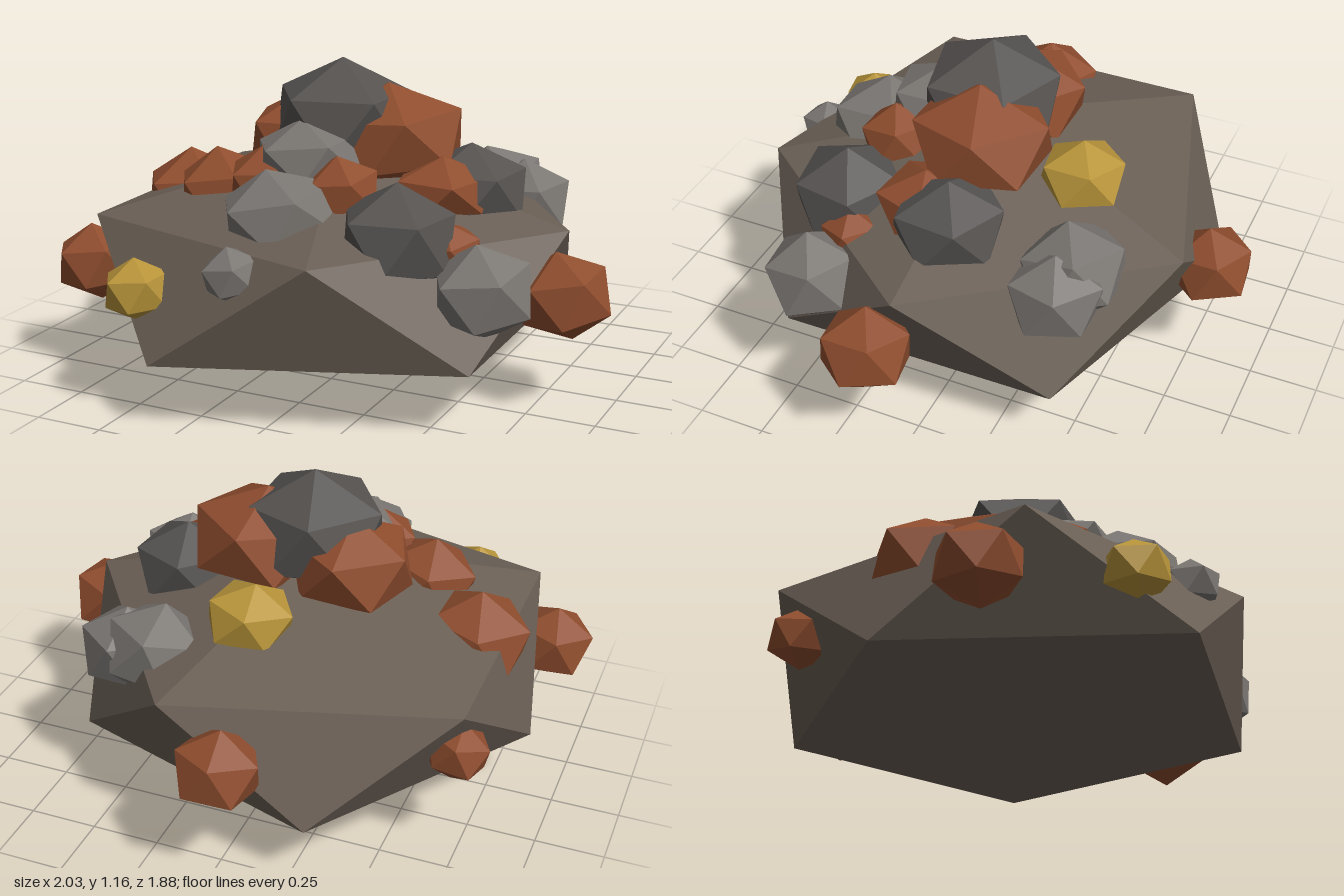
import * as THREE from 'three';

// Small seeded generator for the chipped, uneven corners
function seeded(seed) {
  let s = seed * 7919 + 17;
  return () => {
    s = (s * 16807) % 2147483647;
    return s / 2147483647;
  };
}

// Twenty-sided stone: two poles and two staggered rings of five corners.
// upper and lower hold the ring radii; heights run from -1 to 1.
function stoneGeometry(upper, lower) {
  const ring = (radii, y, offset) => radii.map((r, k) => {
    const a = (k + offset) * Math.PI * 2 / 5;
    return new THREE.Vector3(Math.cos(a) * r, y, Math.sin(a) * r);
  });
  const u = ring(upper, 0.447, 0);
  const l = ring(lower, -0.447, 0.5);
  const top = new THREE.Vector3(0, 1, 0);
  const bottom = new THREE.Vector3(0, -1, 0);
  const corners = [];
  for (let k = 0; k < 5; k++) {
    const n = (k + 1) % 5;
    corners.push(top, u[n], u[k], u[k], u[n], l[k], l[k], u[n], l[n], bottom, l[k], l[n]);
  }
  return new THREE.BufferGeometry().setFromPoints(corners);
}

const material = (color) => new THREE.MeshStandardMaterial({ color, flatShading: true });

function addStone(parent, name, geometry, mat) {
  geometry.computeVertexNormals();
  const mesh = new THREE.Mesh(geometry, mat);
  mesh.name = name;
  parent.add(mesh);
}

// A named heap of stones; each stone is x, y, z, radius and, if flattened, half height
function heap(name, color, tilt, stones) {
  const group = new THREE.Group();
  group.name = name;
  const mat = material(color);
  stones.forEach(([x, y, z, r, ry = r], i) => {
    const random = seeded(i + 1);
    const radii = () => Array.from({ length: 5 }, () => 0.96 + random() * 0.08);
    const g = stoneGeometry(radii(), radii());
    g.rotateY(random() * 1.2).rotateX(random() * tilt).rotateZ(random() * tilt);
    g.scale(r, ry, r).translate(x, y, z);
    addStone(group, name + 'Piece', g, mat);
  });
  return group;
}

export function createModel() {
  const model = new THREE.Group();
  model.name = 'orePile';

  // Broad mound, resting on its lowest point
  const mound = stoneGeometry([0.87, 0.83, 0.89, 0.89, 0.86], [0.88, 0.935, 0.84, 0.87, 0.87]);
  mound.scale(1, 0.425, 1).translate(-0.05, 0.425, 0.05);
  addStone(model, 'mound', mound, material(0x6a5f55));

  // Dark stones: the cap, then the left and front left ones
  model.add(heap('darkStone', 0x555250, 0, [
    [-0.04, 0.93, 0.06, 0.25, 0.226],
    [0.44, 0.71, 0.01, 0.2, 0.17],
    [0.35, 0.63, 0.45, 0.2],
  ]));

  // Pale stones: front slabs, left side, back left pair, front pebble
  model.add(heap('paleStone', 0x7a7672, 0.25, [
    [-0.07, 0.83, 0.27, 0.19, 0.14],
    [-0.06, 0.68, 0.5, 0.21, 0.165],
    [0.655, 0.49, 0.44, 0.17],
    [0.38, 0.6, -0.43, 0.18],
    [0.5, 0.57, -0.41, 0.165],
    [-0.09, 0.545, 0.79, 0.1],
  ]));

  // Ore lumps around the rim of the mound
  model.add(heap('rimOre', 0x8f4d2e, 0.2, [
    [-0.86, 0.395, 0.46, 0.145],
    [0.84, 0.41, 0.14, 0.16],
    [-0.02, 0.44, -0.805, 0.15],
    [-0.73, 0.42, -0.385, 0.11],
  ]));

  // Ore lumps piled under the cap
  model.add(heap('pileOre', 0x8f4d2e, 0.15, [
    [-0.65, 0.58, 0.09, 0.19],
    [-0.41, 0.67, 0.28, 0.17],
    [-0.19, 0.745, 0.35, 0.14],
    [0.11, 0.75, 0.37, 0.13],
    [-0.2, 0.84, 0.01, 0.23, 0.185],
    [0.15, 0.88, 0.02, 0.25, 0.195],
    [0.38, 0.73, 0.11, 0.18, 0.12],
    [0.5, 0.58, 0.36, 0.11],
  ]));

  // Golden nuggets at the front and back
  model.add(heap('nugget', 0xb8943a, 0.15, [
    [-0.465, 0.44, 0.79, 0.115],
    [0.055, 0.75, -0.33, 0.155, 0.13],
  ]));
  return model;
}
